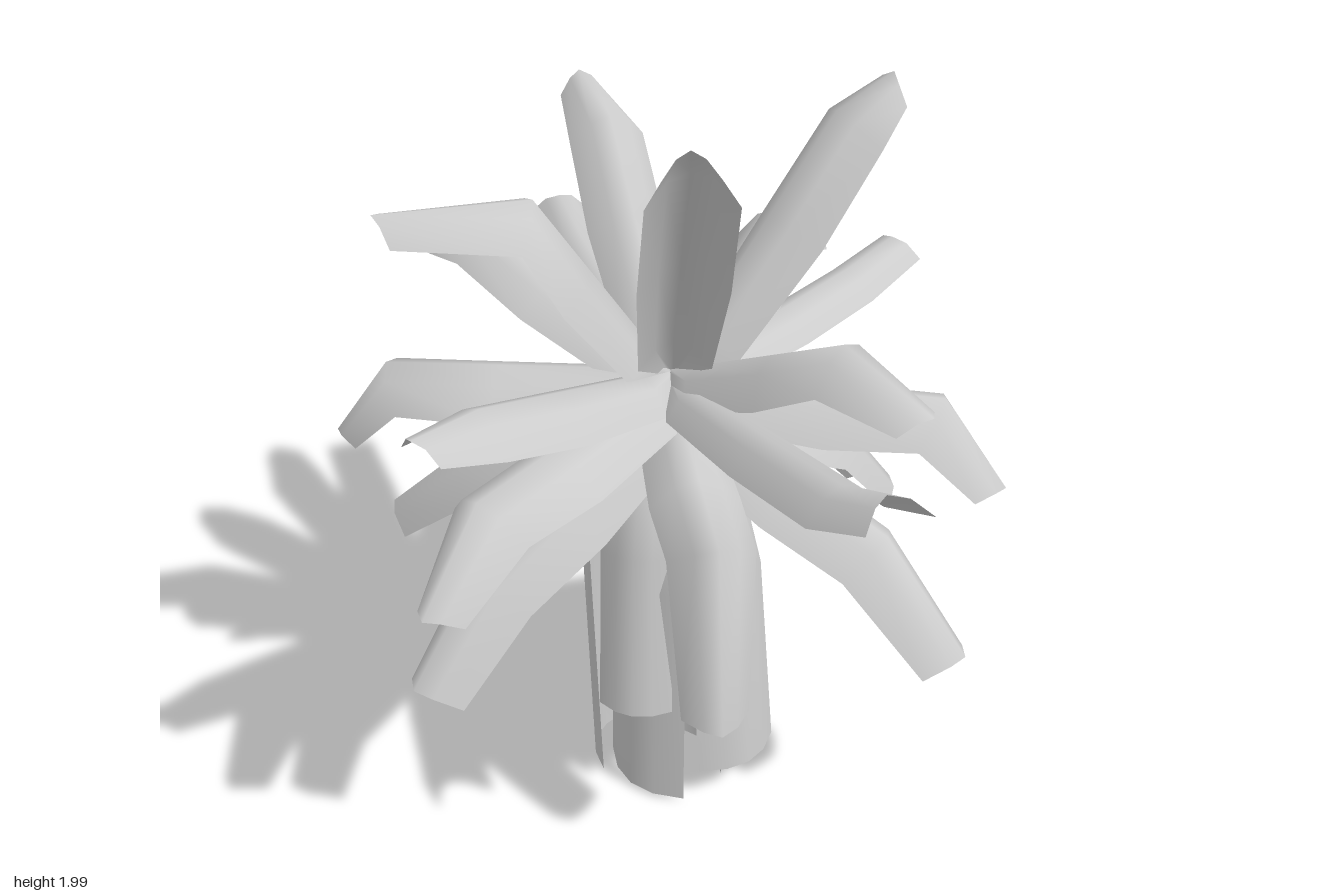
import * as THREE from 'three';

const V = (p) => new THREE.Vector3(...p);
const ACROSS = [-1, -0.5, 0, 0.5, 1];

// Arched blade along root -> knee -> tip. "shape" holds the relative widths of the
// five rows, "arch" the droop of the edges; end corners sit "point" behind the tip.
function bladeGeometry(root, knee, tip, width, { shape, arch, point }) {
  const [r, k, t] = [V(root), V(knee), V(tip)];
  const first = k.clone().sub(r).normalize();
  const last = t.clone().sub(k).normalize();
  const bend = first.clone().add(last).normalize();
  const side = new THREE.Vector3(t.z - r.z, 0, r.x - t.x).normalize();
  const rows = [
    [r, first],
    [r.clone().lerp(k, 0.16), first],
    [r.clone().lerp(k, 0.6), first],
    [k, bend],
    [t, last],
  ];
  const positions = [], index = [], n = ACROSS.length;
  rows.forEach(([center, dir], i) => {
    const up = dir.clone().cross(side).normalize();
    const w = width * shape[i];
    for (const u of ACROSS) {
      const p = center.clone()
        .addScaledVector(side, u * w / 2)
        .addScaledVector(up, -arch * w * u * u);
      if (i === rows.length - 1) p.addScaledVector(dir, -point * Math.abs(u));
      positions.push(p.x, p.y, p.z);
    }
    if (i === 0) return;
    for (let j = 0; j < n - 1; j++) {
      const a = (i - 1) * n + j, b = i * n + j;
      index.push(a, b, a + 1, b, b + 1, a + 1);
    }
  });
  const g = new THREE.BufferGeometry();
  g.setAttribute('position', new THREE.Float32BufferAttribute(positions, 3));
  g.setIndex(index);
  g.computeVertexNormals();
  return g;
}

export function createModel() {
  const model = new THREE.Group();
  const leafGrey = new THREE.MeshStandardMaterial({ color: 0xcccccc, side: THREE.DoubleSide });
  leafGrey.name = 'leafGrey';

  // Each leaf: knee, tip, width and, where it differs, its own root
  const addLeaves = (groupName, leafName, list, root, style) => {
    const group = new THREE.Group();
    group.name = groupName;
    for (const [knee, tip, width, start = root] of list) {
      const leaf = new THREE.Mesh(bladeGeometry(start, knee, tip, width, style), leafGrey);
      leaf.name = leafName;
      group.add(leaf);
    }
    model.add(group);
  };

  // Upright and level leaves that bend near the end
  addLeaves('crownLeaves', 'crownLeaf', [
    [[0.02, 1.92, 0.41], [0.01, 2.0, 0.49], 0.2],
    [[0.43, 1.8, -0.16], [0.57, 1.87, -0.21], 0.23],
    [[-0.28, 1.71, 0.05], [-0.63, 1.7, 0.07], 0.23],
    [[-0.07, 1.7, -0.43], [-0.13, 1.73, -0.67], 0.2],
    [[0.34, 1.45, -0.38], [0.48, 1.32, -0.55], 0.22],
    [[-0.4, 1.47, -0.36], [-0.55, 1.4, -0.5], 0.2],
    [[0.36, 1.49, 0.37], [0.52, 1.4, 0.54], 0.22],
    [[-0.42, 1.4, 0.4], [-0.56, 1.42, 0.54], 0.21],
    [[0.65, 1.23, 0.2], [0.79, 1.03, 0.29], 0.24],
    [[-0.65, 1.2, -0.16], [-0.79, 0.99, -0.2], 0.24],
    [[-0.44, 1.18, 0.43], [-0.57, 0.99, 0.59], 0.24],
  ], [0.03, 1.23, 0], { shape: [0.15, 0.85, 1, 0.95, 0.58], arch: 0.42, point: 0.03 });

  // Lower leaves that slope down and outward
  addLeaves('droopingLeaves', 'droopingLeaf', [
    [[0.51, 0.9, -0.26], [0.69, 0.63, -0.36], 0.24],
    [[0.52, 0.9, 0.28], [0.7, 0.63, 0.42], 0.24],
    [[-0.49, 0.88, -0.23], [-0.68, 0.67, -0.33], 0.24],
    [[-0.46, 0.87, 0.28], [-0.62, 0.63, 0.4], 0.25],
    [[0.09, 1.02, 0.45], [0.09, 0.57, 0.57], 0.22],
  ], [0.03, 1.2, 0], { shape: [0.15, 0.85, 1, 0.97, 0.75], arch: 0.45, point: 0.02 });

  // Long straight leaves with blunt notched ends
  addLeaves('longLeaves', 'longLeaf', [
    [[-0.14, 1.25, -0.72], [-0.18, 1.27, -0.92], 0.18],
    [[-0.01, 0.8, -0.63], [-0.02, 0.69, -0.8], 0.17],
    [[0.56, 1.21, -0.5], [0.72, 1.22, -0.66], 0.18],
    [[0.27, 1.43, 0.8], [0.33, 1.48, 0.91], 0.18],
  ], [0.03, 1.21, 0], { shape: [0.15, 0.85, 1, 0.97, 0.85], arch: 0.38, point: -0.03 });

  // Hanging leaves that widen downward and stand in place of a trunk
  addLeaves('hangingSkirt', 'hangingLeaf', [
    [[0.18, 0.7, 0.17], [0.22, 0.13, 0.21], 0.25, [0.1, 1.15, 0.01]],
    [[-0.08, 0.8, 0.18], [-0.09, 0.33, 0.22], 0.19, [-0.04, 1.15, 0.06]],
    [[-0.08, 0.7, 0.14], [-0.09, 0.02, 0.145], 0.28, [0.02, 1.15, 0.06]],
    [[0.12, 0.7, -0.02], [0.12, 0.01, -0.02], 0.28, [0.02, 1.15, 0.06]],
    [[-0.19, 0.8, 0], [-0.17, 0.05, -0.01], 0.23, [0, 1.15, 0.05]],
    [[0.17, 0.78, -0.11], [0.16, 0.06, -0.1], 0.16, [0.07, 1.15, 0.02]],
  ], null, { shape: [0.15, 0.5, 0.85, 0.95, 1], arch: 0.22, point: 0 });

  return model;
}
